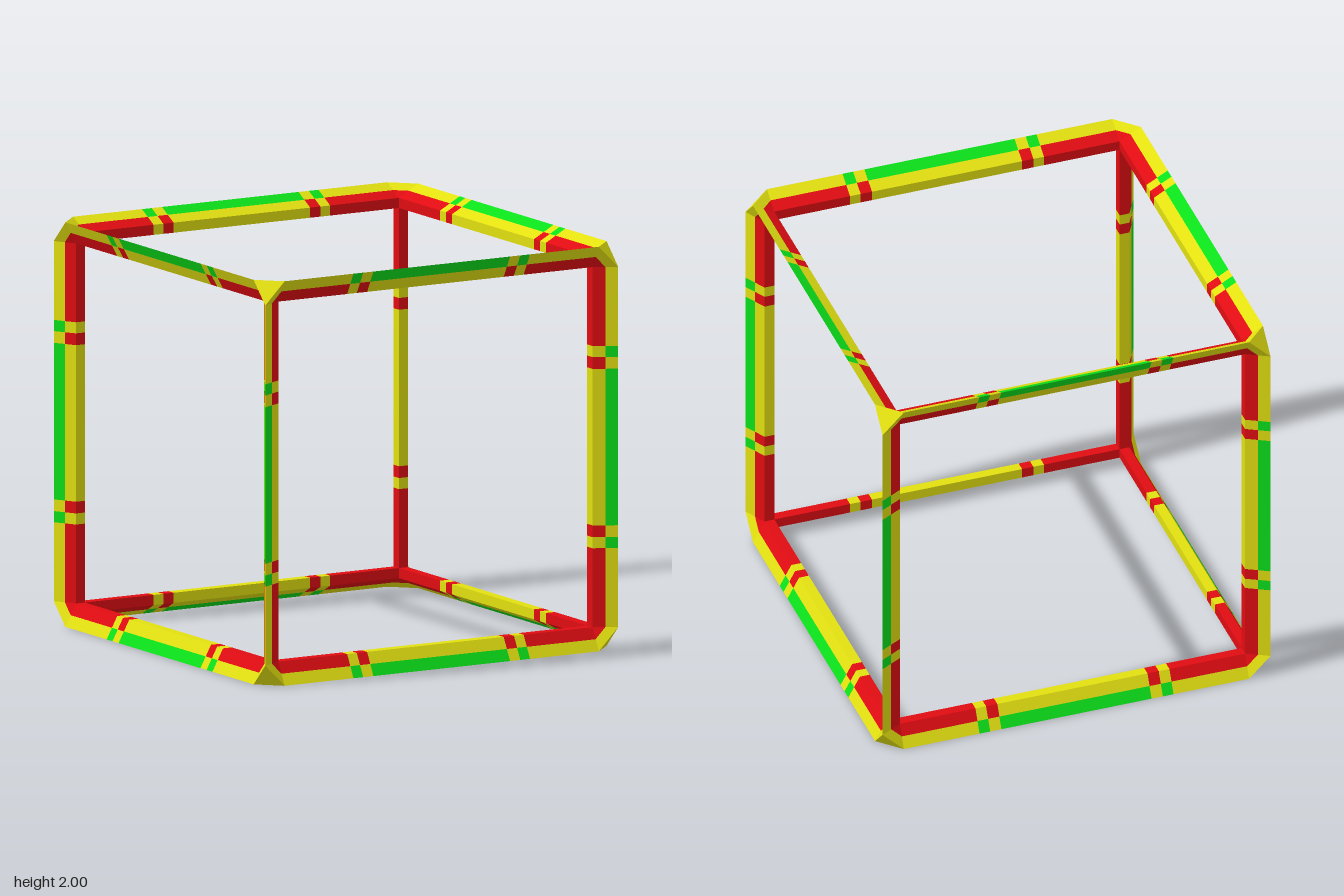
import * as THREE from 'three';

const material = (name, color) => Object.assign(new THREE.MeshStandardMaterial({ color }), { name });

// Distances from the cube centre: outer edge, inner opening, wedge shoulder
const OUT = 1, IN = 0.89, SHOULDER = 0.94;
const MID = (OUT + IN) / 2, MID_SHOULDER = (OUT + SHOULDER) / 2;

// Collects flat faces (lists of corner points) by colour
class Faces {
  constructor() { this.lists = { yellow: [], green: [], red: [] }; }
  add(color, ...p) {
    for (let i = 1; i < p.length - 1; i++) this.lists[color].push(...p[0], ...p[i], ...p[i + 1]);
  }
  geometries() {
    return Object.entries(this.lists).filter(([, list]) => list.length).map(([color, list]) => {
      const g = new THREE.BufferGeometry();
      g.setAttribute('position', new THREE.Float32BufferAttribute(list, 3));
      g.computeVertexNormals();
      return [color, g];
    });
  }
}

// Kite-shaped bar along x, split lengthwise into coloured bands
function barFaces() {
  const faces = new Faces();
  const section = [
    [IN, IN], [IN, SHOULDER], [MID, MID_SHOULDER], [OUT, OUT],
    [MID_SHOULDER, MID], [SHOULDER, IN], [IN, IN],
  ];
  const stops = [-IN, -0.5, -0.445, -0.387, 0.387, 0.445, 0.5, IN];
  const outer = ['yellow', 'green', 'yellow', 'green', 'yellow', 'green', 'yellow'];
  const inner = ['red', 'yellow', 'red', 'yellow', 'red', 'yellow', 'red'];
  for (let i = 0; i < 7; i++) {
    const x0 = stops[i], x1 = stops[i + 1];
    for (let j = 0; j < 6; j++) {
      const a = section[j], b = section[j + 1];
      const color = (j === 2 || j === 3 ? outer : inner)[i];
      faces.add(color, [x0, ...a], [x1, ...a], [x1, ...b], [x0, ...b]);
    }
  }
  return faces;
}

// Cut corner joining three bars: an outer triangle and three gussets
function cornerFaces() {
  const faces = new Faces();
  faces.add('yellow', [IN, OUT, OUT], [OUT, IN, OUT], [OUT, OUT, IN]);
  for (let k = 0; k < 3; k++) {
    const turn = (p) => [p[k], p[(k + 1) % 3], p[(k + 2) % 3]];
    const a = turn([IN, OUT, OUT]), b = turn([OUT, IN, OUT]);
    const m1 = turn([IN, MID, MID_SHOULDER]), m2 = turn([MID, IN, MID_SHOULDER]);
    faces.add('yellow', b, a, m1, m2);
    faces.add('red', m2, m1, turn([IN, IN, SHOULDER]));
  }
  return faces;
}

export function createModel() {
  const materials = {
    yellow: material('yellow', 0xe2e010),
    green: material('green', 0x0be01a),
    red: material('red', 0xe00c12),
  };
  const model = new THREE.Group();
  model.name = 'cubeFrame';
  const bar = barFaces().geometries();
  const corner = cornerFaces().geometries();
  const quarter = Math.PI / 2;

  const place = (name, geometries) => {
    const part = new THREE.Group();
    part.name = name;
    for (const [color, geometry] of geometries) {
      const mesh = new THREE.Mesh(geometry, materials[color]);
      mesh.name = `${name} ${color}`;
      part.add(mesh);
    }
    part.position.y = 1;
    model.add(part);
    return part;
  };

  for (let i = 0; i < 4; i++) {
    // Four bars along each axis
    place('barAlongX', bar).rotation.set(i * quarter, 0, 0);
    place('barAlongZ', bar).rotation.set(i * quarter, quarter, 0, 'ZYX');
    place('barAlongY', bar).rotation.set(i * quarter, 0, quarter, 'ZYX');
    // Upper and lower corners
    place('upperCorner', corner).rotation.set(0, i * quarter, 0);
    place('lowerCorner', corner).rotation.set(Math.PI, i * quarter, 0);
  }
  return model;
}
